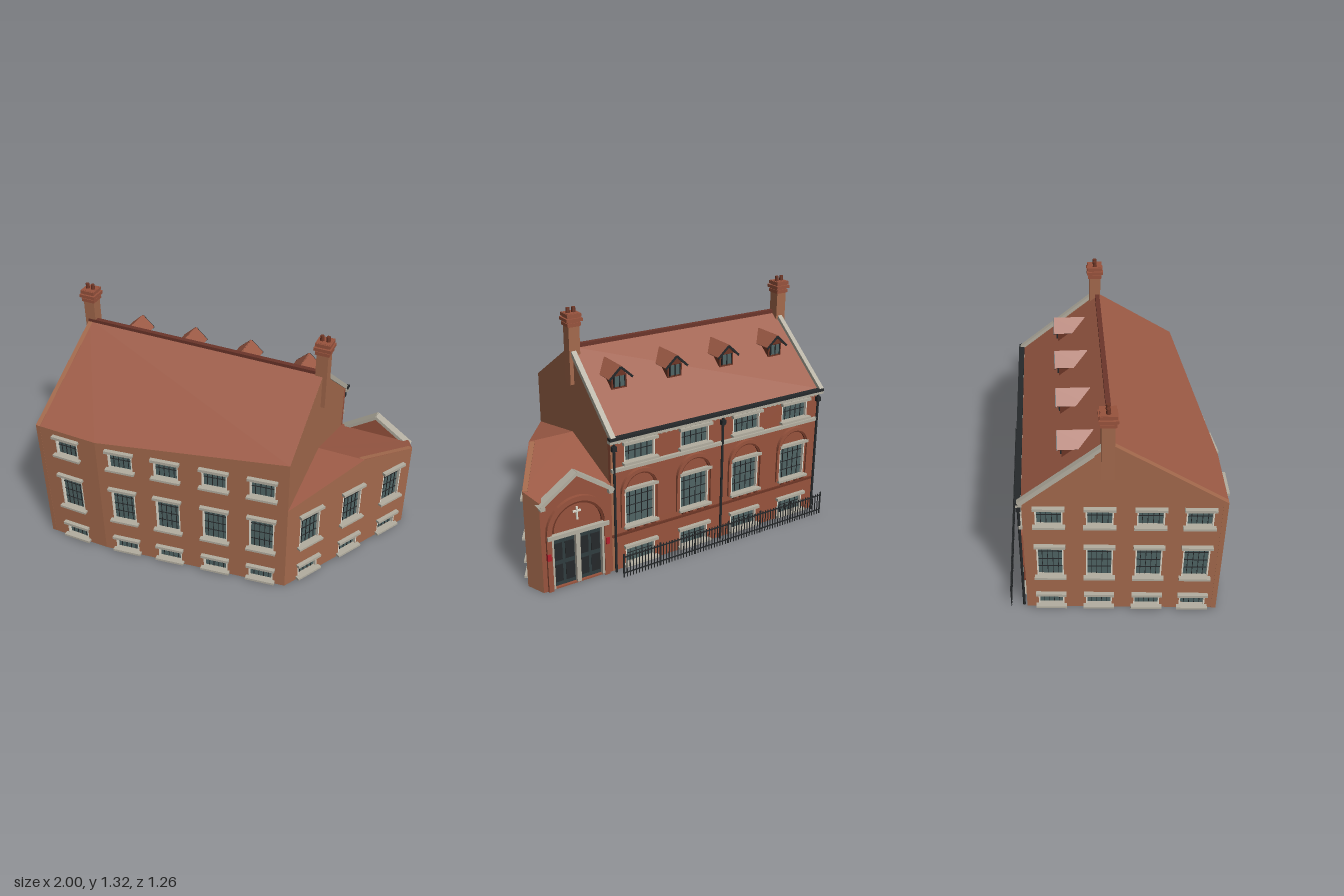
import * as THREE from 'three';

const mat = (color, side = THREE.FrontSide) =>
  new THREE.MeshStandardMaterial({ color, side, flatShading: true });
const M = {
  brick: mat(0xa3694c), redBrick: mat(0x98533d), darkBrick: mat(0x6e3626),
  roof: mat(0x9c5a45, THREE.DoubleSide), ridge: mat(0x6b352a),
  stone: mat(0xb3aea0), white: mat(0xdedacd), iron: mat(0x25282a),
  glass: mat(0x4f6464, THREE.DoubleSide), door: mat(0x2f3c3f, THREE.DoubleSide), red: mat(0xb3202c),
};

// Plan corners [x, z], counter-clockwise seen from above
const A = [-0.7, -0.55], B = [0.6, -0.225], C = [0.98, -0.128], D = [0.995, -0.02];
const E = [0.38, 0.61], F = [-0.647, 0.487], G = [-0.995, 0.396];
const RIDGE_L = [-0.828, -0.14], RIDGE_R = [0.49, 0.19], SIDE_PEAK = [0.738, 0.25];
const EAVE = 0.755, TOP = 1.11, PITCH = Math.atan2(TOP - EAVE, 0.43);
const dist = (p, q) => Math.hypot(q[0] - p[0], q[1] - p[1]);

function add(parent, name, geometry, material, x = 0, y = 0, z = 0) {
  const m = new THREE.Mesh(geometry, material);
  m.name = name;
  m.position.set(x, y, z);
  parent.add(m);
  return m;
}
const box = (parent, name, material, w, h, d, x, y, z) =>
  add(parent, name, new THREE.BoxGeometry(w, h, d), material, x, y, z);

// Group whose +x runs from p to q and whose +z points out of the building
function frame(parent, name, p, q) {
  const g = new THREE.Group();
  g.name = name;
  g.position.set(p[0], 0, p[1]);
  g.rotation.y = Math.atan2(-(q[1] - p[1]), q[0] - p[0]);
  parent.add(g);
  return g;
}

// Wall with a top profile [[u, y], ...] and openings {u, y, w, h}
function wall(parent, name, p, q, profile, openings = [], material = M.brick) {
  const g = frame(parent, name, p, q), len = dist(p, q), t = 0.025;
  const s = new THREE.Shape();
  s.moveTo(0, 0);
  s.lineTo(len, 0);
  [...profile].reverse().forEach(([u, y]) => s.lineTo(u, y));
  s.closePath();
  for (const o of openings) {
    const h = new THREE.Path(), l = o.u - o.w / 2, r = o.u + o.w / 2;
    h.moveTo(l, o.y);
    h.lineTo(l, o.y + o.h);
    h.lineTo(r, o.y + o.h);
    h.lineTo(r, o.y);
    h.closePath();
    s.holes.push(h);
  }
  add(g, name + 'Bricks', new THREE.ExtrudeGeometry(s, { depth: t, bevelEnabled: false }), material, 0, 0, -t);
  openings.forEach(o => o.door ? doors(g, o) : windowUnit(g, o));
  return g;
}

// Recessed window with pale reveals, dark glazing bars, lintel and sill
function windowUnit(parent, { u, y, w, h }) {
  const g = new THREE.Group();
  g.name = 'window';
  g.position.set(u, y, 0);
  parent.add(g);
  add(g, 'glass', new THREE.PlaneGeometry(w, h), M.glass, 0, h / 2, -0.018);
  for (const s of [-1, 1]) box(g, 'jamb', M.white, 0.007, h, 0.02, s * (w / 2 - 0.0035), h / 2, -0.01);
  for (let i = 1; i < 5; i++) box(g, 'glazingBar', M.iron, 0.003, h, 0.004, (i / 5 - 0.5) * w, h / 2, -0.016);
  for (const f of h > 0.15 ? [0.25, 0.5, 0.75] : [0.5]) box(g, 'crossBar', M.iron, w, 0.003, 0.004, 0, h * f, -0.016);
  box(g, 'lintel', M.stone, w + 0.022, 0.016, 0.035, 0, h + 0.006, 0.0045);
  box(g, 'sill', M.stone, w + 0.026, 0.013, 0.04, 0, -0.003, 0.005);
}

// Pair of panelled doors with a stone post between
function doors(g, { u, y, w, h }) {
  box(g, 'doorPost', M.stone, 0.024, h, 0.03, u, y + h / 2, -0.007);
  for (const s of [-1, 1]) {
    const dx = u + s * w / 4;
    box(g, 'door', M.door, w / 2, h, 0.008, dx, y + h / 2, -0.018);
    for (const k of [-1, 1]) for (const f of [0.25, 0.68])
      box(g, 'doorPanel', M.iron, w / 6, h * 0.34, 0.006, dx + k * w / 9, y + h * f, -0.014);
    box(g, 'doorJamb', M.stone, 0.016, h, 0.03, u + s * (w / 2 - 0.004), y + h / 2, -0.005);
    box(g, 'redBox', M.red, 0.02, 0.036, 0.02, u + s * (w / 2 + 0.018), 0.2, 0.01);
  }
}

// Half-round ring standing on its springing line
function arch(g, name, material, outer, inner, depth, x, y) {
  const s = new THREE.Shape();
  s.absarc(0, 0, outer, 0, Math.PI, false);
  s.absarc(0, 0, inner, Math.PI, 0, true);
  s.closePath();
  return add(g, name, new THREE.ExtrudeGeometry(s, { depth, bevelEnabled: false, curveSegments: 12 }), material, x, y, 0);
}

// Roof polygon as a fan of points [plan, y]
function roofFace(parent, name, pts) {
  const v = [];
  for (let i = 1; i < pts.length - 1; i++)
    for (const [p, y] of [pts[0], pts[i], pts[i + 1]]) v.push(p[0], y, p[1]);
  const g = new THREE.BufferGeometry();
  g.setAttribute('position', new THREE.Float32BufferAttribute(v, 3));
  g.computeVertexNormals();
  add(parent, name, g, M.roof);
}

function dormer(g, u) {
  const d = new THREE.Group();
  d.name = 'dormer';
  d.position.set(u, 0, -0.2);
  g.add(d);
  const s = new THREE.Shape([[-0.045, 0.9], [0.045, 0.9], [0.045, 0.99], [0, 1.04], [-0.045, 0.99]].map(p => new THREE.Vector2(...p)));
  add(d, 'dormerBody', new THREE.ExtrudeGeometry(s, { depth: 0.14, bevelEnabled: false }), M.darkBrick, 0, 0, -0.14);
  box(d, 'dormerGlass', M.glass, 0.06, 0.055, 0.006, 0, 0.96, 0.001);
  for (const k of [-1, 0, 1]) box(d, 'dormerBar', M.iron, 0.006, 0.06, 0.01, k * 0.031, 0.96, 0.002);
  for (const k of [-1, 1]) {
    const slab = box(d, 'dormerRoof', M.roof, 0.092, 0.007, 0.18, k * 0.034, 1.014, -0.07);
    const barge = box(d, 'bargeBoard', M.iron, 0.092, 0.012, 0.006, k * 0.034, 1.01, 0.021);
    slab.rotation.z = barge.rotation.z = -k * 0.74;
  }
}

function chimney(parent, x, z, angle) {
  const c = new THREE.Group();
  c.name = 'chimney';
  c.position.set(x, 0, z);
  c.rotation.y = angle;
  parent.add(c);
  box(c, 'shaft', M.brick, 0.062, 0.36, 0.062, 0, 1.095, 0);
  [[0.076, 1.235], [0.09, 1.26], [0.08, 1.283]].forEach(([w, y]) => box(c, 'band', M.redBrick, w, 0.017, w, 0, y, 0));
  box(c, 'cap', M.redBrick, 0.068, 0.07, 0.068, 0, 1.258, 0);
  for (const k of [-1, 1]) add(c, 'pot', new THREE.CylinderGeometry(0.01, 0.012, 0.04, 10), M.darkBrick, k * 0.016, 1.3, 0);
}

export function createModel() {
  const root = new THREE.Group();
  root.name = 'brickBuilding';
  const rows = [[0.02, 0.08], [0.24, 0.212], [0.6, 0.11]];
  const grid = (us, rs, w) => us.flatMap(u => rs.map(([y, h]) => ({ u, y, w, h })));

  // Plain outer walls
  const GF = dist(G, F), FE = dist(F, E), ED = dist(E, D), AG = dist(A, G), EB = dist(E, B);
  wall(root, 'frontCornerWall', G, F, [[0, EAVE], [GF, 0.75]], grid([GF / 2], rows, 0.135));
  wall(root, 'frontWall', F, E, [[0, 0.75], [FE, 0.835]], grid([0.133, 0.385, 0.646, 0.9], rows, 0.135));
  wall(root, 'annexWall', E, D, [[0, 0.54], [dist(E, SIDE_PEAK), 0.635], [ED, 0.535]],
    grid([0.157, 0.45, 0.744], rows.slice(0, 2), 0.135));
  wall(root, 'annexEndWall', D, C, [[0, 0.535], [dist(D, C), 0.503]]);
  wall(root, 'leftGableWall', E, B, [[0, 0.835], [dist(E, RIDGE_R), TOP], [EB, EAVE]]);
  wall(root, 'rightGableWall', A, G, [[0, EAVE], [dist(A, RIDGE_L), TOP], [AG, EAVE]],
    grid([0.13, 0.38, 0.63, 0.87].map(t => t * AG), rows, 0.135));

  // Roofs
  roofFace(root, 'frontRoof', [[RIDGE_L, TOP], [G, EAVE], [F, 0.75], [E, 0.835], [RIDGE_R, TOP]]);
  roofFace(root, 'backRoof', [[RIDGE_R, TOP], [B, EAVE], [A, EAVE], [RIDGE_L, TOP]]);
  roofFace(root, 'annexFrontRoof', [[RIDGE_R, 0.635], [E, 0.54], [SIDE_PEAK, 0.635]]);
  roofFace(root, 'annexBackRoof', [[RIDGE_R, 0.635], [SIDE_PEAK, 0.635], [D, 0.535], [C, 0.503], [B, 0.502]]);
  const RL = dist(RIDGE_L, RIDGE_R);
  box(frame(root, 'ridge', RIDGE_L, RIDGE_R), 'ridgeTiles', M.ridge, RL, 0.022, 0.025, RL / 2, 1.109, 0);

  // Decorated back facade
  const L = dist(B, A), bays = [0.125, 0.375, 0.625, 0.875].map(t => t * L);
  const back = wall(root, 'backWall', B, A, [[0, EAVE], [L, EAVE]],
    grid(bays, [[0.02, 0.1], [0.245, 0.205], [0.605, 0.1]], 0.18), M.redBrick);
  box(back, 'cornice', M.stone, L + 0.03, 0.016, 0.03, L / 2, 0.738, 0.012);
  box(back, 'gutter', M.iron, L + 0.03, 0.014, 0.03, L / 2, 0.753, 0.016);
  box(back, 'stringCourse', M.stone, L, 0.018, 0.022, L / 2, 0.578, 0.008);
  box(back, 'plinthCourse', M.darkBrick, L, 0.012, 0.012, L / 2, 0.205, 0.004);
  for (let i = 0; i < 44; i++) box(back, 'dentil', M.stone, 0.012, 0.012, 0.012, (i + 0.5) * L / 44, 0.725, 0.006);
  for (const u of bays) {
    arch(back, 'windowArch', M.redBrick, 0.115, 0.095, 0.018, u, 0.442);
    arch(back, 'innerArch', M.darkBrick, 0.095, 0.085, 0.01, u, 0.442);
    for (const k of [-1, 1]) {
      box(back, 'archPier', M.redBrick, 0.016, 0.2, 0.014, u + k * 0.107, 0.342, 0.005);
      for (const m of [0.3, 0.8]) box(back, 'sillBracket', M.darkBrick, 0.022, 0.016, 0.02, u + k * m * 0.09, 0.228, 0.008);
    }
    dormer(back, u);
  }
  for (const u of [0.012, L / 2, L - 0.012]) {
    add(back, 'drainPipe', new THREE.CylinderGeometry(0.007, 0.007, 0.74, 8), M.iron, u, 0.37, 0.016);
    box(back, 'pipeHead', M.iron, 0.026, 0.026, 0.022, u, 0.7, 0.016);
  }
  for (const u of [0.008, L + 0.006]) {
    const coping = box(back, 'vergeCoping', M.stone, 0.028, 0.024, 0.575, u, 0.934, -0.207);
    coping.rotation.x = PITCH;
  }

  // Iron railing before the back facade
  const railing = new THREE.Group();
  railing.name = 'railing';
  railing.position.set(0.02, 0, 0.083);
  back.add(railing);
  for (const y of [0.025, 0.118]) box(railing, 'rail', M.iron, 1.315, 0.006, 0.005, 0.6575, y, 0);
  for (let i = 0; i <= 72; i++) {
    const post = i % 12 === 0, h = post ? 0.138 : 0.13;
    box(railing, post ? 'railPost' : 'railBar', M.iron, post ? 0.009 : 0.004, h, 0.004, i * 1.315 / 72, h / 2, 0);
  }

  // Gabled entrance with doors, arch and cross
  const W = dist(C, B), mid = W / 2;
  const porch = wall(root, 'entranceWall', C, B, [[0, 0.48], [mid, 0.615], [W, 0.48]],
    [{ u: mid, y: 0.008, w: 0.29, h: 0.285, door: true }], M.redBrick);
  box(porch, 'doorLintel', M.stone, 0.34, 0.022, 0.035, mid, 0.305, 0.006);
  arch(porch, 'entranceArch', M.redBrick, 0.172, 0.145, 0.02, mid, 0.325);
  arch(porch, 'entranceInnerArch', M.darkBrick, 0.145, 0.132, 0.012, mid, 0.325);
  box(porch, 'crossUpright', M.white, 0.009, 0.07, 0.01, mid, 0.4, 0.004);
  box(porch, 'crossArm', M.white, 0.044, 0.009, 0.01, mid, 0.412, 0.004);
  for (const k of [-1, 1]) {
    box(porch, 'entrancePier', M.redBrick, 0.027, 0.325, 0.016, mid + k * 0.1585, 0.1625, 0.006);
    const c = box(porch, 'gableCoping', M.stone, 0.25, 0.018, 0.05, mid + k * 0.1, 0.55, -0.004);
    c.rotation.z = -k * Math.atan2(0.135, mid);
    box(porch, 'copingFoot', M.stone, 0.025, 0.025, 0.045, mid + k * (mid - 0.01), 0.478, 0);
  }

  chimney(root, -0.81, -0.155, back.rotation.y);
  chimney(root, 0.485, 0.175, back.rotation.y);
  return root;
}
